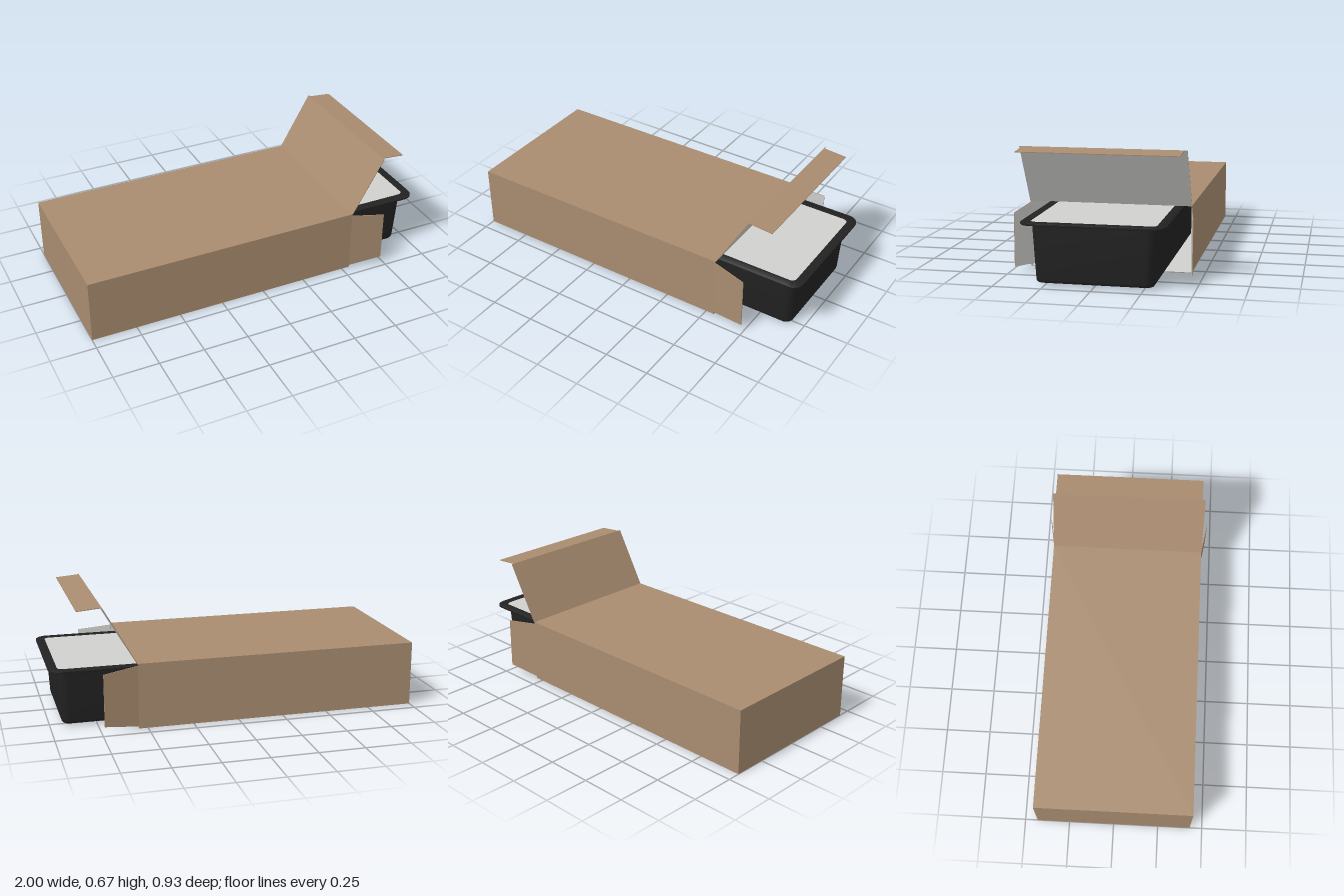
import * as THREE from 'three';
import { toCreasedNormals } from 'three/addons/utils/BufferGeometryUtils.js';

const material = (name, color) => {
  const m = new THREE.MeshStandardMaterial({ color });
  m.name = name;
  return m;
};

// Thin card panel: corners run counter-clockwise seen from the printed side.
function panel(name, corners, cardMaterials, t = 0.004) {
  const outer = corners.map((c) => new THREE.Vector3(...c));
  const n = new THREE.Vector3().crossVectors(
    outer[1].clone().sub(outer[0]), outer[2].clone().sub(outer[0])).normalize();
  const inner = outer.map((p) => p.clone().addScaledVector(n, -t));
  const pos = [];
  const quad = (a, b, c, d) => [a, b, c, a, c, d].forEach((p) => pos.push(p.x, p.y, p.z));
  quad(...outer);
  for (let i = 0; i < 4; i++) {
    const j = (i + 1) % 4;
    quad(outer[i], inner[i], inner[j], outer[j]);
  }
  quad(inner[3], inner[2], inner[1], inner[0]);
  const g = new THREE.BufferGeometry();
  g.setAttribute('position', new THREE.Float32BufferAttribute(pos, 3));
  g.addGroup(0, 30, 0);
  g.addGroup(30, 6, 1);
  g.computeVertexNormals();
  const mesh = new THREE.Mesh(g, cardMaterials);
  mesh.name = name;
  return mesh;
}

// Rounded rectangle ring at height y, counter-clockwise from above.
function ring(cx, y, hx, hz, r, seg = 8) {
  const pts = [];
  for (let k = 0; k < 4; k++) {
    const sx = k === 0 || k === 3 ? 1 : -1;
    const sz = k < 2 ? -1 : 1;
    for (let i = 0; i <= seg; i++) {
      const a = (k + i / seg) * Math.PI / 2;
      pts.push([cx + sx * (hx - r) + r * Math.cos(a), y, sz * (hz - r) - r * Math.sin(a)]);
    }
  }
  return pts;
}

// Skin through a stack of rings, optionally closing the first or last one.
function loft(rings, capBottom, capTop) {
  const n = rings[0].length;
  const pos = rings.flat(2);
  const index = [];
  for (let i = 0; i < rings.length - 1; i++) {
    for (let j = 0; j < n; j++) {
      const a = i * n + j, b = i * n + (j + 1) % n;
      index.push(a, b, b + n, a, b + n, a + n);
    }
  }
  const last = (rings.length - 1) * n;
  for (let j = 1; j < n - 1; j++) {
    if (capBottom) index.push(0, j + 1, j);
    if (capTop) index.push(last, last + j, last + j + 1);
  }
  const g = new THREE.BufferGeometry();
  g.setAttribute('position', new THREE.Float32BufferAttribute(pos, 3));
  g.setIndex(index);
  return toCreasedNormals(g, 0.6);
}

export function createModel() {
  const model = new THREE.Group();
  model.name = 'openCartonWithTray';
  const brown = material('brown card', 0xa98c70);
  const white = material('white card and film', 0xd0d0ce);
  const black = material('black plastic', 0x222222);
  const card = [brown, white];

  // Carton sleeve, open at the +x end
  const x0 = -1, x1 = 0.548, h = 0.357, w = 0.431;
  const carton = new THREE.Group();
  carton.name = 'carton';
  carton.add(
    panel('cartonTop', [[x0, h, w], [x1, h, w], [x1, h, -w], [x0, h, -w]], card),
    panel('cartonBottom', [[x0, 0, -w], [x1, 0, -w], [x1, 0, w], [x0, 0, w]], card),
    panel('cartonEnd', [[x0, 0, -w], [x0, 0, w], [x0, h, w], [x0, h, -w]], card));

  // Side walls and their splayed flaps
  for (const s of [1, -1]) {
    const side = s > 0 ? 'left' : 'right';
    const order = (c) => (s > 0 ? c : c.reverse());
    const z = s * w, zf = s * 0.464;
    carton.add(
      panel(side + 'Wall', order([[x0, 0, z], [x1, 0, z], [x1, h, z], [x0, h, z]]), card),
      panel(side + 'Flap', order([[x1, 0.012, z], [0.735, 0.037, zf],
        [0.735, 0.322, zf], [x1, 0.346, z]]), card));
  }

  // Raised lid and its tuck flap
  const lx = 0.726, ly = 0.666, tw = 0.415;
  carton.add(
    panel('lid', [[x1, h, w], [lx, ly, w], [lx, ly, -w], [x1, h, -w]], card),
    panel('tuckFlap', [[lx, ly, tw], [0.858, 0.655, tw], [0.858, 0.655, -tw], [lx, ly, -tw]], card));
  model.add(carton);

  // Tray: tapered body with rounded base, then the flat rim
  const cx = 0.25, rx = 0.75, rz = 0.365;
  const level = (y, inset, r) => ring(cx, y, rx - inset, rz - inset, r);
  const tray = new THREE.Mesh(loft([
    level(0.010, 0.082, 0.03),
    level(0.013, 0.072, 0.038),
    level(0.020, 0.066, 0.044),
    level(0.030, 0.064, 0.046),
    level(0.312, 0.049, 0.05),
    level(0.312, 0.003, 0.06),
    level(0.315, 0, 0.062),
    level(0.323, 0, 0.062),
    level(0.325, 0.003, 0.06),
    level(0.325, 0.048, 0.028),
    level(0.320, 0.048, 0.028),
  ], true, false), black);
  tray.name = 'tray';
  model.add(tray);

  // Sealing film inside the rim
  const film = new THREE.Mesh(loft([level(0.321, 0.048, 0.028), level(0.324, 0.048, 0.028)], true, true), white);
  film.name = 'sealingFilm';
  model.add(film);
  return model;
}
